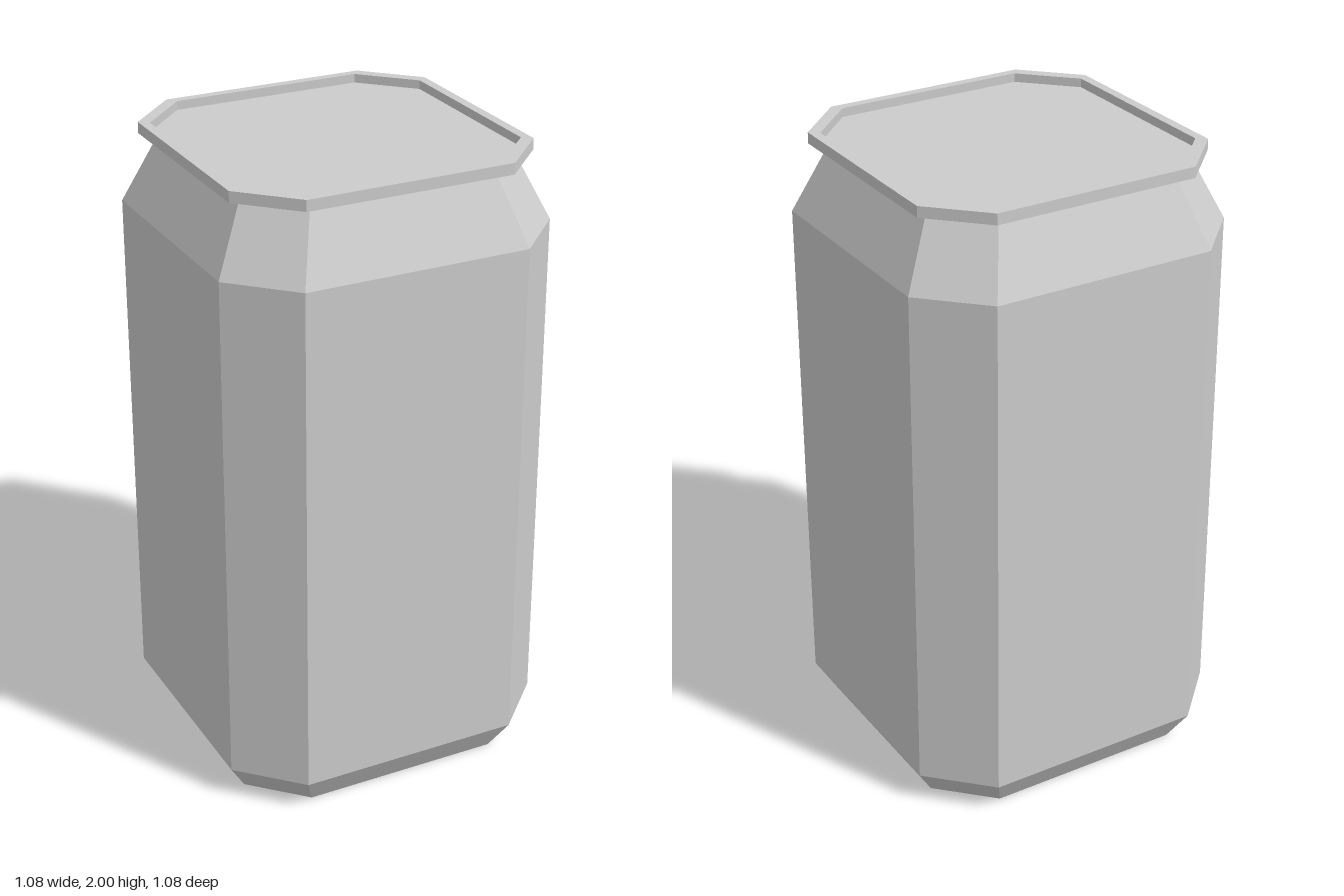
import * as THREE from 'three';

// Corners of a square with chamfered corners: a = half width, b = half length of a flat side
function ring([a, b, y]) {
  return [[a, -b], [a, b], [b, a], [-b, a], [-a, b], [-a, -b], [-b, -a], [b, -a]]
    .map(([x, z]) => [x, y, z]);
}

// Skin a sequence of rings, listed so that the outside lies to the right of the path
function loft(name, sections, material) {
  const rings = sections.map(ring);
  const positions = [];
  for (let i = 0; i < rings.length - 1; i++) {
    const p = rings[i], q = rings[i + 1];
    for (let j = 0; j < 8; j++) {
      const k = (j + 1) % 8;
      if (sections[i + 1][0] > 0) positions.push(...p[j], ...q[j], ...q[k]);
      if (sections[i][0] > 0) positions.push(...p[j], ...q[k], ...p[k]);
    }
  }
  const geometry = new THREE.BufferGeometry();
  geometry.setAttribute('position', new THREE.Float32BufferAttribute(positions, 3));
  geometry.computeVertexNormals();
  const mesh = new THREE.Mesh(geometry, material);
  mesh.name = name;
  return mesh;
}

export function createModel() {
  const group = new THREE.Group();
  group.name = 'can';
  const grey = new THREE.MeshStandardMaterial({ color: 0xcccccc, flatShading: true });

  // Closed bottom, bevelled foot, straight wall and tapered shoulder
  group.add(loft('body', [
    [0, 0, 0],
    [0.48, 0.32, 0],
    [0.54, 0.36, 0.1],
    [0.54, 0.36, 1.75],
    [0.44, 0.295, 1.965],
  ], grey));

  // Overhanging rim: underside, outer wall, top edge, inner wall
  group.add(loft('rim', [
    [0.44, 0.295, 1.965],
    [0.49, 0.33, 1.965],
    [0.49, 0.33, 2],
    [0.46, 0.307, 2],
    [0.46, 0.307, 1.972],
  ], grey));

  // Recessed lid inside the rim
  group.add(loft('lid', [
    [0.46, 0.307, 1.972],
    [0, 0, 1.972],
  ], grey));

  return group;
}
